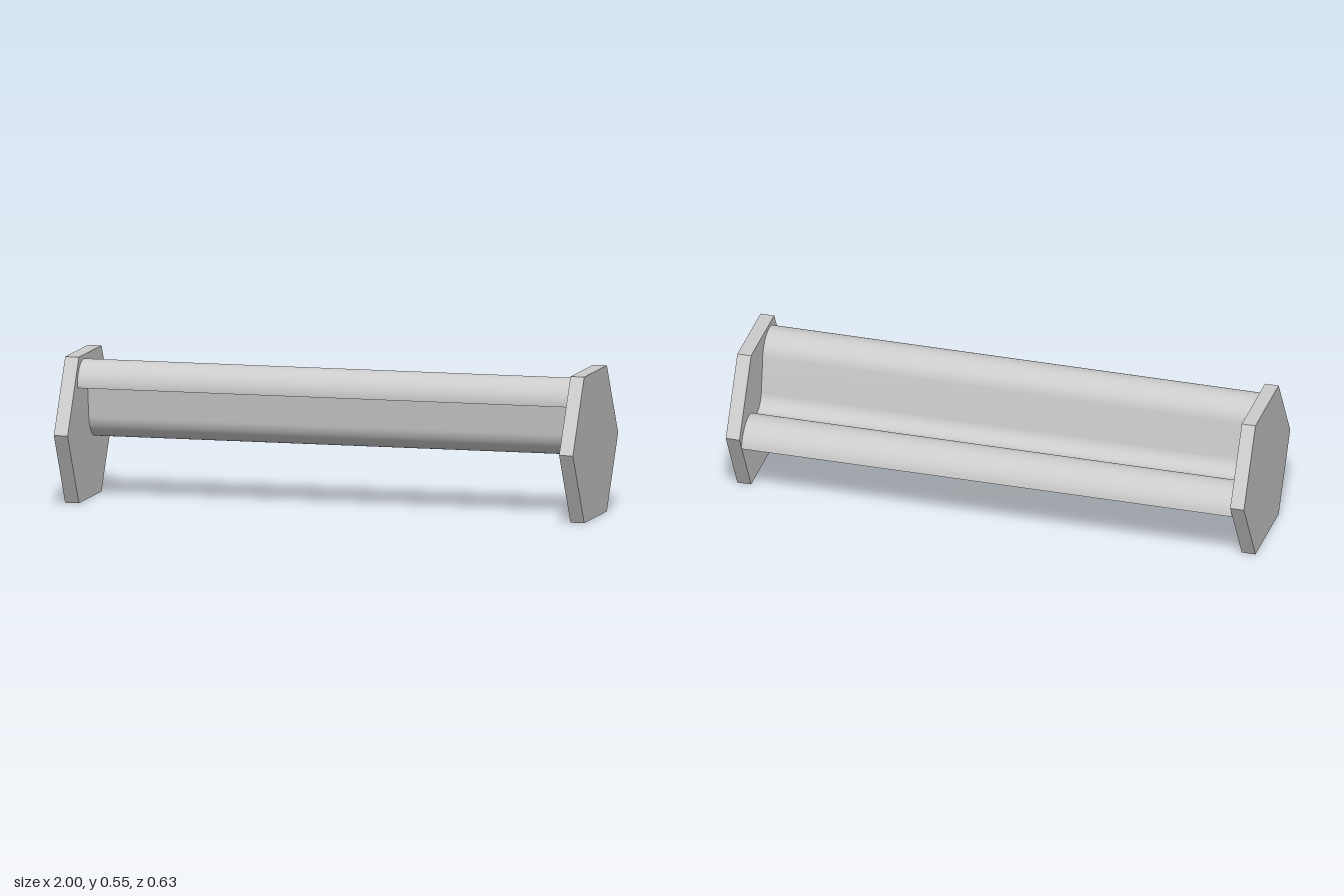
import * as THREE from 'three';
import { toCreasedNormals } from 'three/addons/utils/BufferGeometryUtils.js';

const PLATE_R = 0.3165;
const PLATE_T = 0.053;
const MID_Y = PLATE_R * Math.sqrt(3) / 2;
const HALF_SHEET = 0.02;

// Arcs of the sheet's centre line, from front lip to back lip: [z, y, radius, start, end, bend]
const ARCS = [
  [0.09, 0.443, 0.07, -5, 172, 1],
  [-0.078, 0.322, 0.08, -8, -133, -1],
  [-0.191, 0.209, 0.08, 45, 172, 1],
];

// One face of the sheet, offset from the centre line
function sheetSide(offset) {
  const pts = [];
  const steps = 28;
  for (const [z, y, r, a0, a1, bend] of ARCS) {
    const radius = r + bend * offset;
    for (let i = 0; i <= steps; i++) {
      const a = THREE.MathUtils.degToRad(a0 + (a1 - a0) * i / steps);
      pts.push(new THREE.Vector2(z + radius * Math.cos(a), y + radius * Math.sin(a)));
    }
  }
  return pts;
}

export function createModel() {
  const group = new THREE.Group();
  const smooth = new THREE.MeshStandardMaterial({ color: 0xcccccc });
  const flat = new THREE.MeshStandardMaterial({ color: 0xcccccc, flatShading: true });

  // Hexagonal end plates
  for (const side of [1, -1]) {
    const geo = new THREE.CylinderGeometry(PLATE_R, PLATE_R, PLATE_T, 6);
    geo.rotateZ(Math.PI / 2);
    const plate = new THREE.Mesh(geo, flat);
    plate.name = side > 0 ? 'leftEndPlate' : 'rightEndPlate';
    plate.position.set(side * (1 - PLATE_T / 2), MID_Y, 0);
    group.add(plate);
  }

  // Curved sheet with a high front roll, a trough and a low back roll
  const length = 2 - 2 * PLATE_T;
  const outline = [...sheetSide(HALF_SHEET), ...sheetSide(-HALF_SHEET).reverse()];
  let geo = new THREE.ExtrudeGeometry(new THREE.Shape(outline), { depth: length, bevelEnabled: false });
  geo.translate(0, 0, -length / 2);
  geo.rotateY(-Math.PI / 2);
  geo = toCreasedNormals(geo, Math.PI / 5);
  const sheet = new THREE.Mesh(geo, smooth);
  sheet.name = 'curvedSheet';
  group.add(sheet);

  return group;
}
